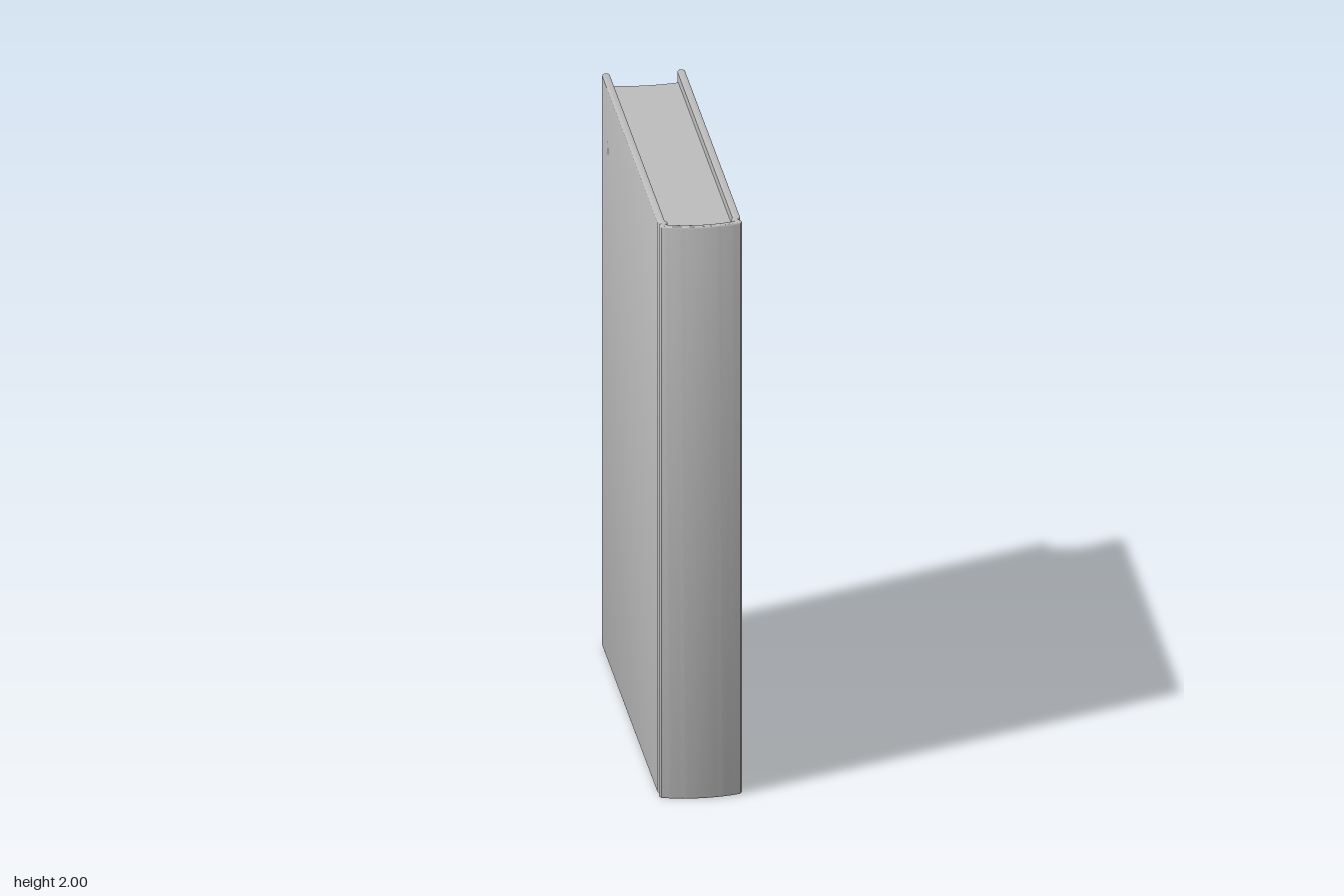
import * as THREE from 'three';
import { toCreasedNormals } from 'three/addons/utils/BufferGeometryUtils.js';

const HEIGHT = 2;
const PAGE_INSET = 0.035;
const BACK = -0.685;
const OUT = 0.136; // outer half width of the boards
const IN = 0.111; // inner half width of the boards

const mirrorX = (pts) => pts.map(([x, z]) => [-x, z]).reverse();
const toVectors = (pts) => pts.map(([x, z]) => new THREE.Vector2(x, z));

// Hinge groove on one side, from board to spine shoulder
function groove(x, depth, zStart, zEnd) {
  const pts = [];
  const n = 10;
  for (let i = 0; i <= n; i++) {
    const t = i / n;
    pts.push([x - depth * Math.sin(Math.PI * t) ** 2, zStart + (zEnd - zStart) * t]);
  }
  return pts;
}

// Shallow curve across the width, from +x to -x
function bow(halfWidth, zSide, zMiddle, n = 20) {
  const pts = [];
  for (let i = 0; i <= n; i++) {
    const u = 1 - (2 * i) / n;
    pts.push([halfWidth * u, zMiddle + (zSide - zMiddle) * u * u]);
  }
  return pts;
}

// Upright slab from a plan outline in x and z
function upright(pts, y0, y1, bevel) {
  const geometry = new THREE.ExtrudeGeometry(new THREE.Shape(toVectors(pts)), {
    depth: y1 - y0 - 2 * bevel,
    bevelEnabled: bevel > 0,
    bevelThickness: bevel,
    bevelSize: bevel,
    bevelOffset: -bevel,
    bevelSegments: 3,
  });
  geometry.rotateX(Math.PI / 2);
  geometry.translate(0, y1 - bevel, 0);
  return toCreasedNormals(geometry, 0.6);
}

export function createModel() {
  const book = new THREE.Group();
  book.name = 'book';
  const grey = new THREE.MeshStandardMaterial({ color: 0xbcbcbc });
  grey.name = 'plain grey';

  const add = (name, geometry) => {
    const mesh = new THREE.Mesh(geometry, grey);
    mesh.name = name;
    book.add(mesh);
  };

  // Rounded rear edge of the left board, from the inner to the outer face
  const r = (OUT - IN) / 2;
  const rim = [];
  for (let i = 0; i <= 10; i++) {
    const a = Math.PI * (1 + i / 10);
    rim.push([IN + r + r * Math.cos(a), BACK + r + r * Math.sin(a)]);
  }

  // Cover: two boards, hinge grooves and the rounded spine in one strip
  const outerSide = [...rim, ...groove(OUT, 0.009, 0.612, 0.648), [0.135, 0.656], [0.13, 0.664]];
  const outer = [...outerSide, ...bow(0.122, 0.667, 0.685), ...mirrorX(outerSide)];
  const innerSide = [...groove(IN, 0.007, 0.61, 0.642), [IN, 0.645]];
  const innerSpine = bow(0.106, 0.648, 0.663);
  const inner = [...innerSide, ...innerSpine, ...mirrorX(innerSide)];
  add('cover', upright([...outer, ...inner.reverse()], 0, HEIGHT, 0.005));

  // Page block: fills the cover and has a hollow fore edge
  const foreEdge = bow(IN, -0.656, -0.645).reverse();
  const pages = [...foreEdge, ...innerSide, ...innerSpine, ...mirrorX(innerSide)];
  add('pages', upright(pages, PAGE_INSET, HEIGHT - PAGE_INSET, 0));

  return book;
}
